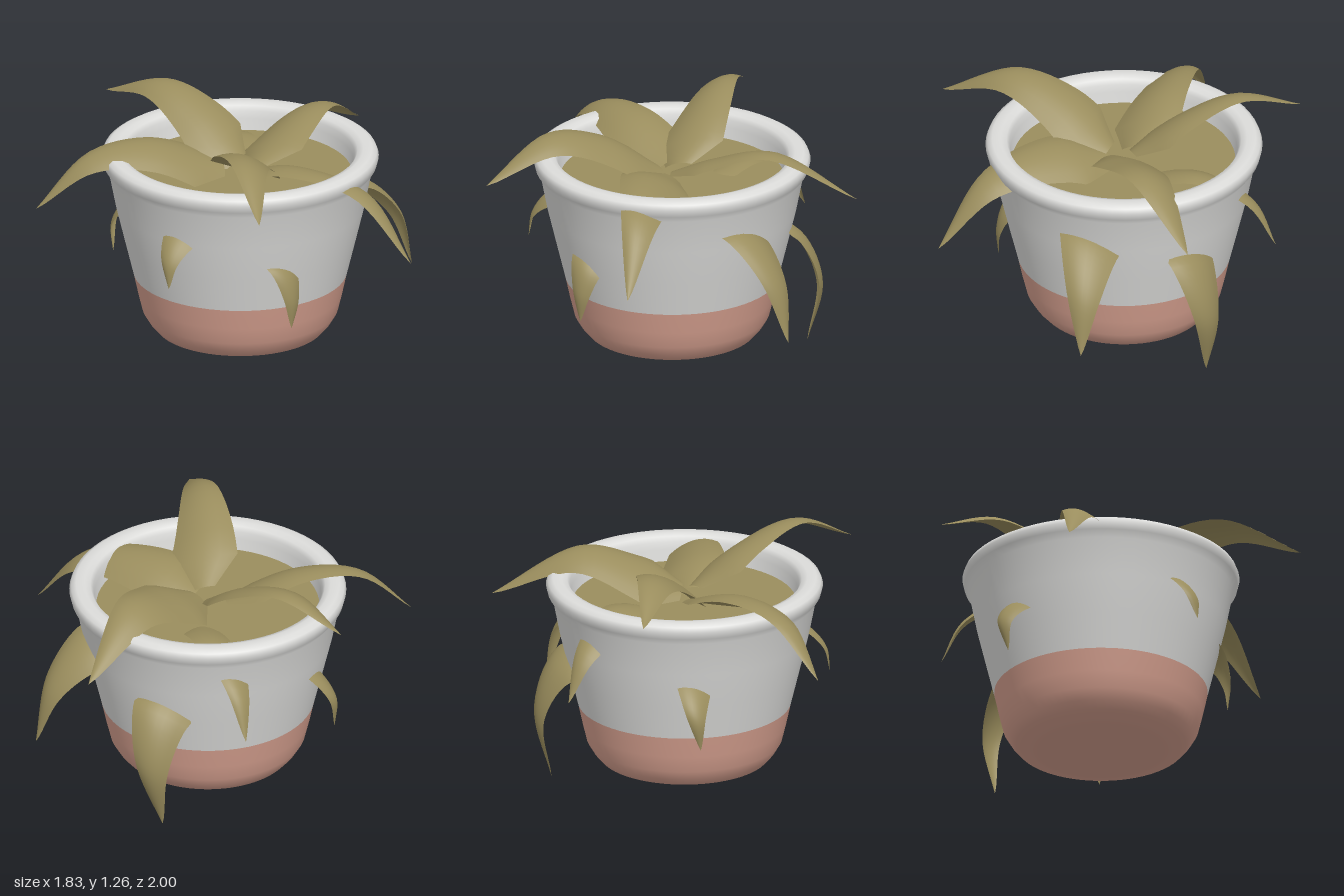
import * as THREE from 'three';

const potGlaze = new THREE.MeshStandardMaterial({ color: 0xdcdcda });
potGlaze.name = 'white glaze';
const clay = new THREE.MeshStandardMaterial({ color: 0xd6a08f });
clay.name = 'pink clay';
const leafGreen = new THREE.MeshStandardMaterial({ color: 0x9a8d5d, side: THREE.DoubleSide });
leafGreen.name = 'olive leaf';

const POT_X = -0.1, POT_Z = -0.05;

function lathe(name, points, material) {
  const profile = points.map(([r, y]) => new THREE.Vector2(r, y));
  const mesh = new THREE.Mesh(new THREE.LatheGeometry(profile, 64), material);
  mesh.name = name;
  mesh.position.set(POT_X, 0, POT_Z);
  return mesh;
}

// Arched, slightly rolled blade swept along a spine and tapering to a point.
function leaf(name, halfWidth, spine) {
  const ROWS = 20, COLS = 8, ROLL = 0.3, ARCH = 0.3;
  const curve = new THREE.CatmullRomCurve3(spine.map(p => new THREE.Vector3(...p)));
  const first = spine[0], last = spine[spine.length - 1];
  const heading = new THREE.Vector3(last[0] - first[0], 0, last[2] - first[2]).normalize();
  const up = new THREE.Vector3(0, 1, 0);
  const flatSide = new THREE.Vector3().crossVectors(heading, up);
  const side = flatSide.clone().addScaledVector(up, ROLL).normalize();
  const positions = [], index = [];
  for (let i = 0; i <= ROWS; i++) {
    const t = i / ROWS;
    const p = curve.getPointAt(t), tangent = curve.getTangentAt(t);
    const normal = new THREE.Vector3().crossVectors(flatSide, tangent).normalize();
    const grow = Math.min(1, 0.4 + t * 4);
    const taper = Math.pow(Math.min(1, (1 - t) / 0.85), 0.85);
    const w = halfWidth * grow * taper;
    for (let j = 0; j <= COLS; j++) {
      const v = (j / COLS) * 2 - 1;
      const q = p.clone().addScaledVector(side, v * w).addScaledVector(normal, -ARCH * w * v * v);
      positions.push(q.x, q.y, q.z);
      if (i < ROWS && j < COLS) {
        const a = i * (COLS + 1) + j, b = a + COLS + 1;
        index.push(a, a + 1, b, a + 1, b + 1, b);
      }
    }
  }
  const geometry = new THREE.BufferGeometry();
  geometry.setAttribute('position', new THREE.Float32BufferAttribute(positions, 3));
  geometry.setIndex(index);
  geometry.computeVertexNormals();
  const mesh = new THREE.Mesh(geometry, leafGreen);
  mesh.name = name;
  return mesh;
}

export function createModel() {
  const model = new THREE.Group();
  model.name = 'pottedPlant';

  // Pot: clay foot, glazed wall with rounded rim, and inner wall
  model.add(lathe('potFoot', [
    [0, 0.045], [0.33, 0.045], [0.34, 0.045], [0.44, 0.075], [0.475, 0.115],
    [0.508, 0.17], [0.53, 0.26], [0.555, 0.375]], clay));
  model.add(lathe('potWall', [
    [0.555, 0.375], [0.6, 0.56], [0.648, 0.76], [0.685, 0.95], [0.71, 0.985], [0.72, 1.025],
    [0.71, 1.05], [0.685, 1.065], [0.64, 1.065], [0.61, 1.055], [0.595, 1.03],
    [0.59, 0.99], [0.575, 0.9]], potGlaze));

  // Leafy bed filling the pot
  const bed = new THREE.Mesh(new THREE.CircleGeometry(0.59, 64), leafGreen);
  bed.name = 'bed';
  bed.rotation.x = -Math.PI / 2;
  bed.position.set(POT_X, 0.93, POT_Z);
  model.add(bed);

  // Crown leaves arching over the rim
  const crown = new THREE.Group();
  crown.name = 'crownLeaves';
  crown.add(
    leaf('backLeaf', 0.19, [[-0.08, 0.99, -0.08], [-0.05, 1.17, -0.35], [-0.04, 1.255, -0.65], [-0.04, 1.13, -1.0]]),
    leaf('leftLeaf', 0.2, [[-0.08, 0.98, 0.01], [0.15, 1.08, 0], [0.47, 1.15, -0.02], [0.91, 0.92, -0.08]]),
    leaf('frontRightLeaf', 0.19, [[-0.13, 0.99, 0.02], [-0.36, 1.17, 0.19], [-0.6, 1.245, 0.42], [-0.86, 1.06, 0.7]]),
    leaf('backRightLeaf', 0.19, [[-0.15, 0.97, -0.12], [-0.45, 1.1, -0.36], [-0.71, 1.06, -0.57], [-0.92, 0.8, -0.75]]),
    leaf('frontLeaf', 0.19, [[-0.1, 0.97, 0.03], [-0.09, 1.05, 0.3], [-0.02, 0.98, 0.72], [0.02, 0.645, 1.0]]));
  model.add(crown);

  // Lower leaves drooping out of the pot wall
  const lower = new THREE.Group();
  lower.name = 'lowerLeaves';
  lower.add(
    leaf('lowFrontLeaf', 0.12, [[-0.36, 0.69, 0.35], [-0.39, 0.6, 0.5], [-0.4, 0.46, 0.55], [-0.4, 0.3, 0.54]]),
    leaf('lowRightLeaf', 0.12, [[-0.58, 0.86, 0.05], [-0.74, 0.79, 0.05], [-0.83, 0.68, 0.06], [-0.845, 0.54, 0.08]]),
    leaf('lowFrontLeftLeaf', 0.17, [[0.32, 0.86, 0.24], [0.48, 0.8, 0.33], [0.64, 0.6, 0.41], [0.71, 0.29, 0.44]]),
    leaf('lowLeftLeaf', 0.16, [[0.4, 0.72, -0.22], [0.56, 0.61, -0.25], [0.65, 0.35, -0.28], [0.56, 0, -0.29]]),
    leaf('lowBackLeftLeaf', 0.16, [[0, 0.9, -0.12], [0.2, 0.96, -0.38], [0.34, 0.82, -0.62], [0.4, 0.58, -0.72]]),
    leaf('lowBackLeaf', 0.12, [[-0.21, 0.76, -0.46], [-0.25, 0.69, -0.65], [-0.28, 0.55, -0.76], [-0.3, 0.37, -0.74]]));
  model.add(lower);

  return model;
}
